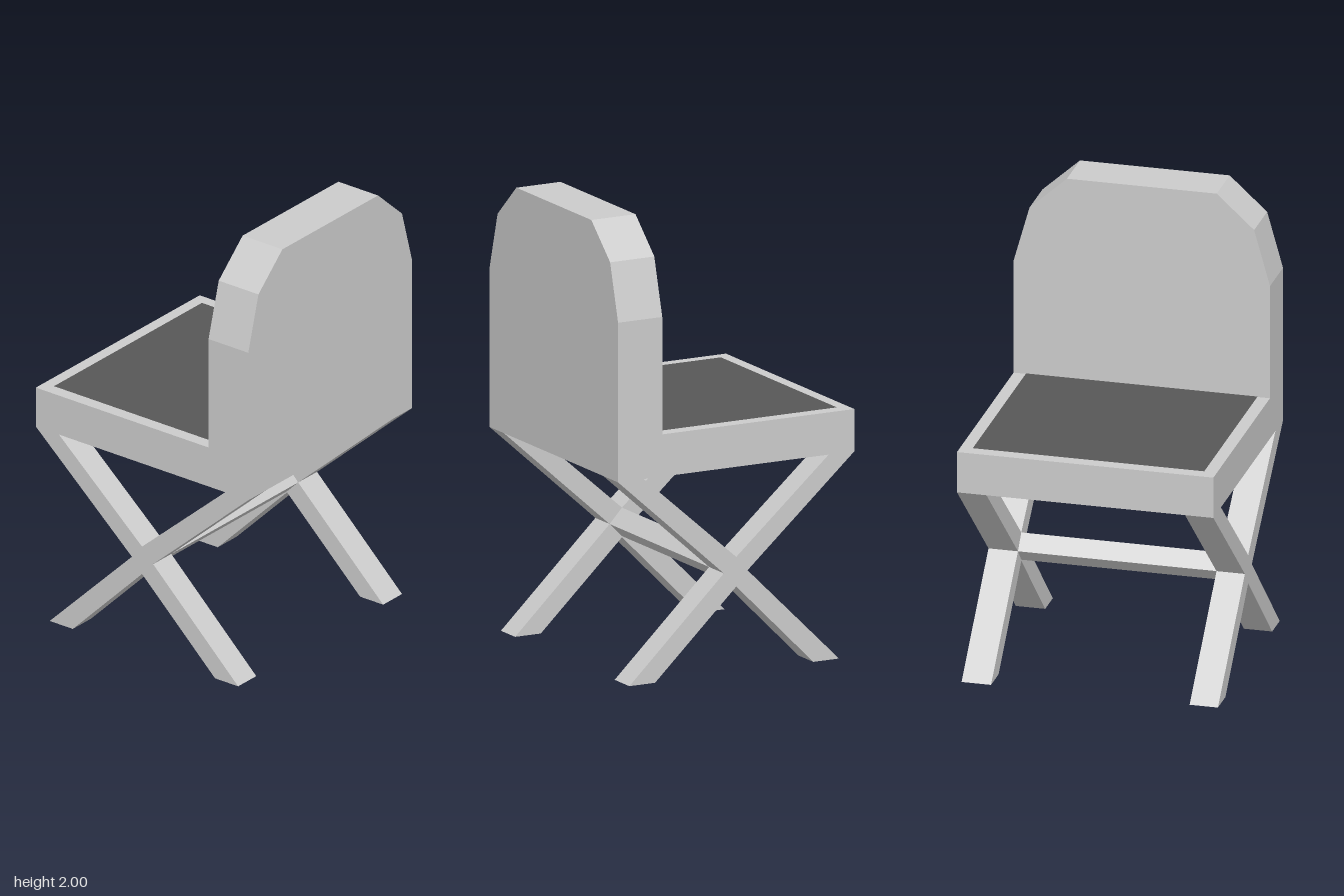
import * as THREE from 'three';

const grey = new THREE.MeshStandardMaterial({ color: 0xcccccc, flatShading: true });
const dark = new THREE.MeshStandardMaterial({ color: 0x575757, flatShading: true });

function prism(points, depth) {
  const shape = new THREE.Shape(points.map(([a, b]) => new THREE.Vector2(a, b)));
  return new THREE.ExtrudeGeometry(shape, { depth, bevelEnabled: false });
}

// Extrudes a (z, y) side profile across x, from x0 to x1
function sideProfile(points, x0, x1) {
  return prism(points, x1 - x0).rotateY(-Math.PI / 2).translate(x1, 0, 0);
}

export function createModel() {
  const group = new THREE.Group();
  const add = (name, geometry, material = grey) => {
    const mesh = new THREE.Mesh(geometry, material);
    mesh.name = name;
    group.add(mesh);
  };

  // Backrest with chamfered top corners
  const half = [[0.565, 0.9], [0.565, 1.6], [0.495, 1.85], [0.33, 2]];
  const mirrored = half.map(([x, y]) => [-x, y]).reverse();
  add('backrest', prism([...half, ...mirrored], 0.215).translate(0, 0, 0.36));

  // Seat slab and the dark panel set flush in its top
  add('seat', new THREE.BoxGeometry(1.13, 0.185, 0.935).translate(0, 0.9925, -0.1075));
  add('seatPanel', new THREE.PlaneGeometry(1.02, 0.88).rotateX(-Math.PI / 2).translate(0, 1.087, -0.08), dark);

  // Crossed legs, one X-shaped frame on each side
  const cross = [
    [0.575, 0.9], [0.45, 0.9], [0, 0.505], [-0.45, 0.9], [-0.575, 0.9], [-0.055, 0.44],
    [-0.5, 0], [-0.375, 0], [0, 0.375], [0.395, 0], [0.52, 0], [0.06, 0.44],
  ];
  add('rightLegs', sideProfile(cross, -0.565, -0.44));
  add('leftLegs', sideProfile(cross, 0.435, 0.565));

  // Diamond-section bar joining the leg crossings
  add('crossbar', sideProfile([[0, 0.505], [-0.055, 0.44], [0, 0.38], [0.06, 0.44]], -0.44, 0.435));

  return group;
}
